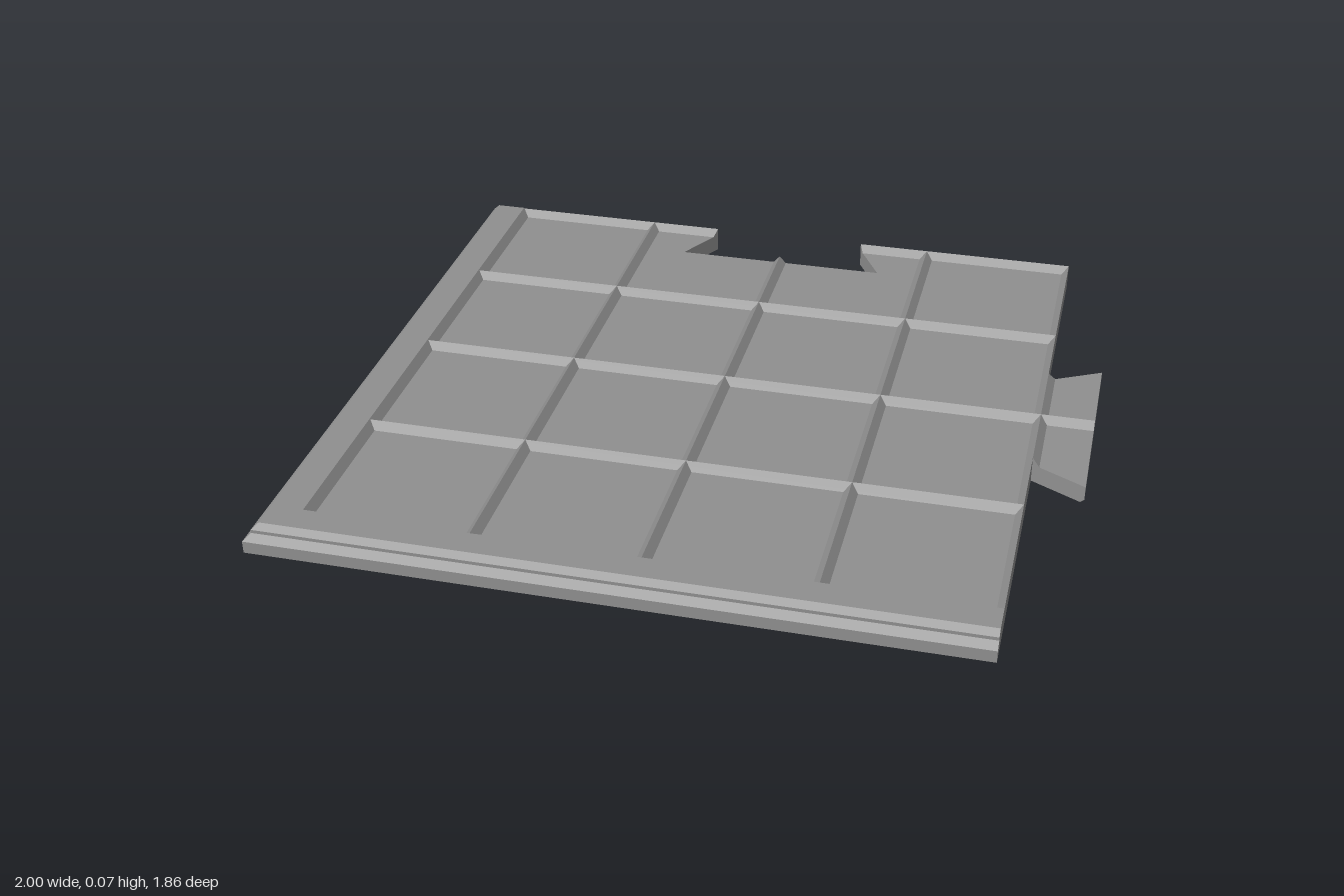
import * as THREE from 'three';
import { ConvexGeometry } from 'three/addons/geometries/ConvexGeometry.js';

const FLOOR = 0.05, TOP = 0.073, CREST = 0.071;
const X0 = -1, X1 = 0.857, Z0 = -0.928, Z1 = 0.928;
const RIM_X = 0.118, RIM_Z = 0.11, R = 0.019; // left and front rim widths, ridge half width
const PITCH_X = (X1 - X0 - RIM_X) / 4;
const PITCH_Z = (Z1 - Z0 - RIM_Z) / 4;
const MX = X0 + RIM_X + 2 * PITCH_X;          // middle grid lines
const MZ = Z0 + 2 * PITCH_Z;
const NOTCH = 0.138;                          // dovetail depth
const mat = new THREE.MeshStandardMaterial({ color: 0x909090, flatShading: true });

function add(group, name, geometry) {
  const mesh = new THREE.Mesh(geometry, mat);
  mesh.name = name;
  group.add(mesh);
}

const hull = (pts) => new ConvexGeometry(pts.map((p) => new THREE.Vector3(...p)));

// Triangular ridge along x or z; lo and hi trim it to one half, flares slant its foot
function ridge(axis, at, from, to, lo = -R, hi = R, flareFrom = 0, flareTo = 0) {
  const pts = [];
  for (const [end, flare] of [[from, flareFrom], [to, flareTo]]) {
    for (const [off, y] of [[lo, FLOOR], [0, CREST], [hi, FLOOR]]) {
      const along = end + (off !== 0 ? flare : 0);
      pts.push(axis === 'x' ? [along, y, at + off] : [at + off, y, along]);
    }
  }
  return hull(pts);
}

// Moulded rim swept along the left and front edges with a mitred corner
function rimGeometry() {
  // inset from the left edge, height, inset from the front edge
  const profile = [[0, 0, 0], [0, 0.033, 0], [0.018, 0.05, 0.018], [0.018, 0.059, 0.018],
    [0.034, TOP, 0.034], [RIM_X, TOP, RIM_Z], [RIM_X + R, FLOOR, RIM_Z + R],
    [RIM_X + R, 0, RIM_Z + R]];
  const path = [[X0, Z0, 1, 0], [X0, Z1, 1, -1], [X1, Z1, 0, -1]];
  const P = (i, j) => {
    const [x, z, sx, sz] = path[i], [dx, y, dz] = profile[j % profile.length];
    return [x + dx * sx, y, z + dz * sz];
  };
  const pos = [], n = profile.length;
  const tri = (...c) => c.forEach((p) => pos.push(...p));
  for (let j = 0; j < n; j++) {
    for (let i = 0; i < 2; i++) {
      tri(P(i, j), P(i + 1, j), P(i + 1, j + 1));
      tri(P(i, j), P(i + 1, j + 1), P(i, j + 1));
    }
    if (j < n - 2) {
      tri(P(0, n - 1), P(0, j), P(0, j + 1));
      tri(P(2, n - 1), P(2, j + 1), P(2, j));
    }
  }
  const g = new THREE.BufferGeometry();
  g.setAttribute('position', new THREE.Float32BufferAttribute(pos, 3));
  g.computeVertexNormals();
  return g;
}

export function createModel() {
  const model = new THREE.Group();
  model.name = 'floorTile';

  // Slab with dovetail socket in the back edge
  const xi = X0 + RIM_X + R, zi = Z1 - RIM_Z - R;
  const slab = new THREE.Shape([
    [xi, Z0], [MX - 0.228, Z0], [MX - 0.303, Z0 + NOTCH], [MX + 0.303, Z0 + NOTCH],
    [MX + 0.228, Z0], [X1, Z0], [X1, zi], [xi, zi],
  ].map((p) => new THREE.Vector2(...p)));
  const slabGeo = new THREE.ExtrudeGeometry(slab, { depth: FLOOR, bevelEnabled: false });
  slabGeo.rotateX(Math.PI / 2).translate(0, FLOOR, 0);
  add(model, 'slab', slabGeo);
  add(model, 'rim', rimGeometry());

  // Dovetail tab on the side, bevelled under its tip
  const tab = [];
  for (const s of [-1, 1]) {
    tab.push([X1, 0, MZ + s * 0.218], [X1, FLOOR, MZ + s * 0.218],
      [1, FLOOR, MZ + s * 0.293], [1, 0.012, MZ + s * 0.293], [0.99, 0, MZ + s * 0.288]);
  }
  add(model, 'tab', hull(tab));

  // Raised grid lines between the square panels
  const grid = new THREE.Group();
  grid.name = 'gridRidges';
  model.add(grid);
  const gx = X0 + RIM_X, gz = Z1 - RIM_Z;
  for (let k = 1; k < 4; k++) {
    add(grid, 'ridgeAcross', ridge('x', Z0 + k * PITCH_Z, gx, k === 2 ? 1 : X1));
    add(grid, 'ridgeAlong', ridge('z', gx + k * PITCH_X, k === 2 ? Z0 + NOTCH : Z0, gz));
  }

  // Half ridges at the open edges, and the matching half on the tab
  const flare = R * 0.53;
  const half = (name, ...args) => {
    const g = ridge(...args);
    add(grid, name, g);
  };
  half('backEdgeRidge', 'x', Z0, gx, MX - 0.228, 0, R, 0, -flare);
  half('backEdgeRidge', 'x', Z0, MX + 0.228, X1, 0, R, flare, 0);
  half('sideEdgeRidge', 'z', X1, Z0, gz, -R, 0);
  half('tabRidge', 'z', X1, MZ - 0.218, MZ + 0.218, 0, R, -flare, flare);

  return model;
}
